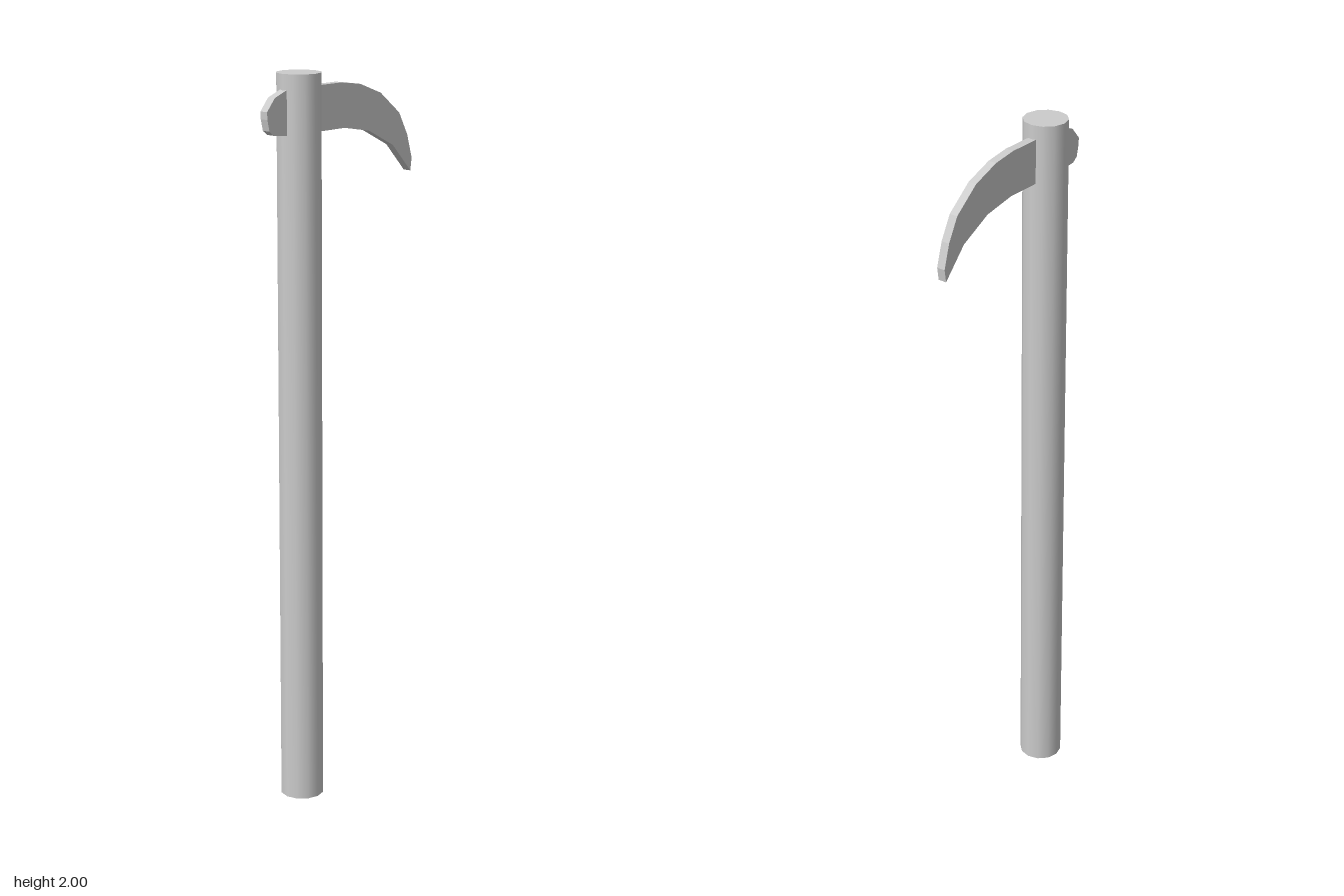
import * as THREE from 'three';

export function createModel() {
  const group = new THREE.Group();
  const material = new THREE.MeshStandardMaterial({ color: 0xcccccc });

  // Twelve-sided smooth handle, offset to the model's right
  const handle = new THREE.Mesh(new THREE.CylinderGeometry(0.06, 0.06, 2, 12), material);
  handle.name = 'handle';
  handle.position.set(-0.15, 1, 0);
  group.add(handle);

  // Flat curved blade running through the handle, with a blunt stub behind it
  const outline = [
    [-0.278, 1.91], [-0.277, 1.89], [-0.27, 1.86], [-0.255, 1.848], [-0.2, 1.842],
    [0.01, 1.842], [0.105, 1.825], [0.2, 1.777], [0.272, 1.7],
    [0.277, 1.735], [0.258, 1.8], [0.225, 1.862], [0.15, 1.922], [0.07, 1.952],
    [0, 1.962], [-0.2, 1.962], [-0.25, 1.943],
  ].map(([x, y]) => new THREE.Vector2(x, y));
  const thickness = 0.024;
  const bladeGeometry = new THREE.ExtrudeGeometry(new THREE.Shape(outline), {
    depth: thickness, bevelEnabled: false,
  });
  bladeGeometry.translate(0, 0, -thickness / 2);
  const blade = new THREE.Mesh(bladeGeometry, material);
  blade.name = 'blade';
  group.add(blade);

  return group;
}
